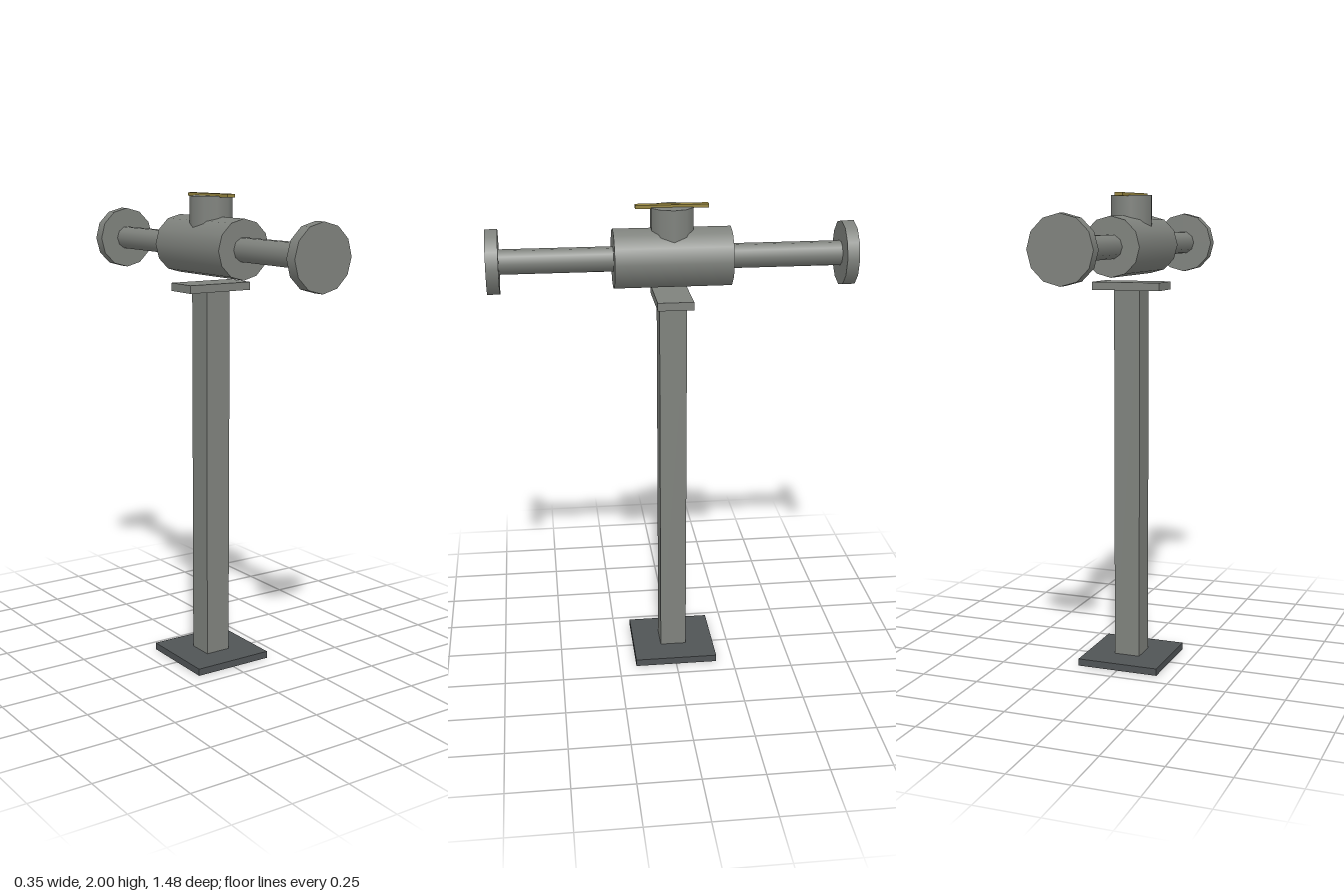
import * as THREE from 'three';

export function createModel() {
  const model = new THREE.Group();
  model.name = 'valveOnStand';

  const material = (name, color) => {
    const m = new THREE.MeshStandardMaterial({ color });
    m.name = name;
    return m;
  };
  const steel = material('grey steel', 0x7f827d);
  const darkSteel = material('dark steel', 0x505456);
  const brass = material('dull brass', 0x95843f);

  const add = (name, geometry, mat, x, y, z) => {
    const mesh = new THREE.Mesh(geometry, mat);
    mesh.name = name;
    mesh.position.set(x, y, z);
    model.add(mesh);
  };
  const box = (name, w, d, y0, y1, mat) =>
    add(name, new THREE.BoxGeometry(w, y1 - y0, d), mat, 0, (y0 + y1) / 2, 0);
  // cylinder with corners on the x axis
  const drum = (r, length, sides) =>
    new THREE.CylinderGeometry(r, r, length, sides).rotateY(Math.PI / 2);

  // stand
  box('basePlate', 0.354, 0.354, 0, 0.03, darkSteel);
  box('post', 0.112, 0.112, 0.03, 1.604, steel);
  box('supportPlate', 0.294, 0.146, 1.604, 1.637, steel);

  // pipe run along z
  const axisY = 1.785;
  add('valveBody', drum(0.122, 0.474, 12).rotateX(Math.PI / 2), steel, 0, axisY, 0);
  for (const [side, s] of [['front', 1], ['back', -1]]) {
    add(side + 'Pipe', drum(0.05, 0.46, 10).rotateX(Math.PI / 2), steel, 0, axisY, s * 0.46);
    add(side + 'Flange', drum(0.132, 0.05, 12).rotateX(Math.PI / 2), steel, 0, axisY, s * 0.715);
  }

  // bonnet and lever on top
  add('bonnet', drum(0.088, 0.19, 10), steel, 0, 1.895, 0);
  box('leverHandle', 0.035, 0.294, 1.986, 2.0, brass);

  return model;
}
